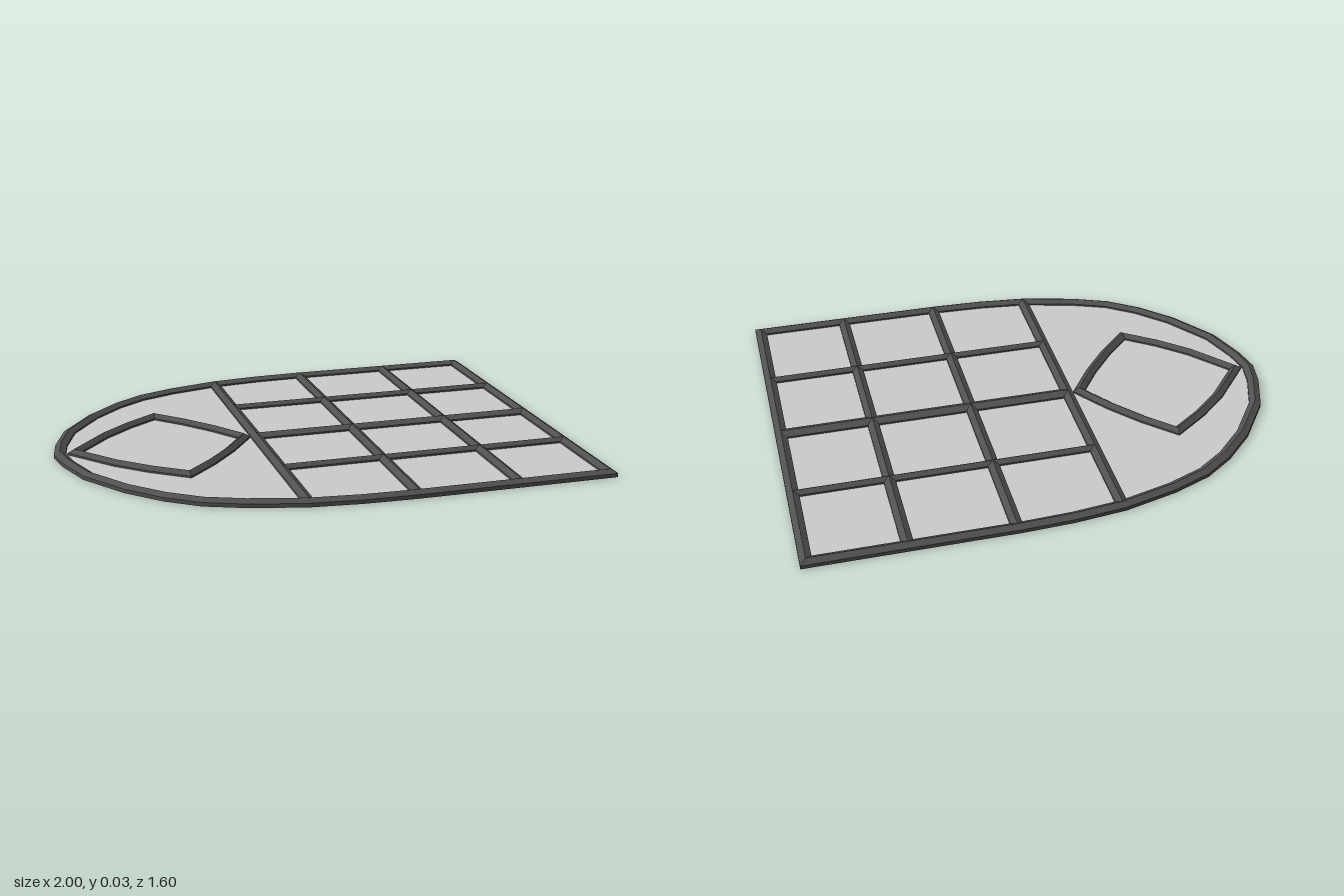
import * as THREE from 'three';

const frameMaterial = new THREE.MeshStandardMaterial({ color: 0x505050, flatShading: true });
const paneMaterial = new THREE.MeshStandardMaterial({ color: 0xcccccc });

// Completes half of a closed outline by mirroring it across z = 0
const mirrorHalf = (half) => [
  ...half,
  ...half.filter(([, z]) => z !== 0).reverse().map(([x, z]) => [x, -z]),
];

// Mitred sideways direction at point i of a path on the ground
function sideAt(path, i, closed) {
  const n = path.length;
  const normal = (a, b) => {
    const dx = b[0] - a[0], dz = b[1] - a[1], l = Math.hypot(dx, dz);
    return [-dz / l, dx / l];
  };
  const hasPrev = closed || i > 0, hasNext = closed || i < n - 1;
  const next = hasNext ? normal(path[i], path[(i + 1) % n]) : null;
  const prev = hasPrev ? normal(path[(i + n - 1) % n], path[i]) : next;
  const q = next || prev;
  const k = 1 + prev[0] * q[0] + prev[1] * q[1];
  return [(prev[0] + q[0]) / k, (prev[1] + q[1]) / k];
}

// Sweeps a ridged, roof-topped bar along a path; shift moves it sideways
function ridgedBar(name, path, { width = 0.045, top = 0.03, closed = false, shift = 0 } = {}) {
  const h = width / 2;
  const profile = [[-h, 0.002], [-h, 0.017], [0, top], [h, 0.017], [h, 0.002]];
  const rings = path.map((p, i) => {
    const [sx, sz] = sideAt(path, i, closed);
    return profile.map(([s, y]) => [p[0] + sx * (s + shift), y, p[1] + sz * (s + shift)]);
  });
  const verts = [];
  const count = closed ? path.length : path.length - 1;
  for (let i = 0; i < count; i++) {
    const r0 = rings[i], r1 = rings[(i + 1) % path.length];
    for (let j = 0; j < profile.length; j++) {
      const k = (j + 1) % profile.length;
      verts.push(...r0[j], ...r0[k], ...r1[k], ...r0[j], ...r1[k], ...r1[j]);
    }
  }
  const geometry = new THREE.BufferGeometry();
  geometry.setAttribute('position', new THREE.Float32BufferAttribute(verts, 3));
  geometry.computeVertexNormals();
  const mesh = new THREE.Mesh(geometry, frameMaterial);
  mesh.name = name;
  return mesh;
}

export function createModel() {
  const group = new THREE.Group();
  group.name = 'archedWindow';

  // Outer edge: square at +x, rounded at -x
  const outline = mirrorHalf([
    [-1, 0], [-0.98, -0.11], [-0.925, -0.27], [-0.8, -0.45], [-0.68, -0.57], [-0.56, -0.655],
    [-0.41, -0.715], [-0.2, -0.77], [0, -0.792], [0.2, -0.8], [1, -0.8],
  ]);

  // Pane
  const shape = new THREE.Shape(outline.map(([x, z]) => new THREE.Vector2(x * 0.995, -z * 0.995)));
  const paneGeometry = new THREE.ExtrudeGeometry(shape, { depth: 0.01, bevelEnabled: false });
  paneGeometry.rotateX(-Math.PI / 2);
  const pane = new THREE.Mesh(paneGeometry, paneMaterial);
  pane.name = 'pane';
  group.add(pane);

  // Outer frame, lying just inside the outline
  group.add(ridgedBar('outerFrame', outline, { width: 0.046, closed: true, shift: 0.023 }));

  // Curved diamond in the arch
  const diamond = mirrorHalf([
    [-0.92, 0], [-0.78, -0.167], [-0.665, -0.27], [-0.54, -0.36],
    [-0.43, -0.25], [-0.33, -0.13], [-0.24, 0],
  ]);
  group.add(ridgedBar('diamondFrame', diamond, { width: 0.04, top: 0.032, closed: true }));

  // Cross bars
  for (const [x, z] of [[-0.19, 0.745], [0.215, 0.775], [0.615, 0.775]]) {
    group.add(ridgedBar('crossBar', [[x, -z], [x, z]]));
  }

  // Long bars, the middle one wider
  for (const [z, width] of [[-0.387, 0.036], [0, 0.058], [0.387, 0.036]]) {
    group.add(ridgedBar('longBar', [[-0.19, z], [0.977, z]], { width }));
  }

  return group;
}
